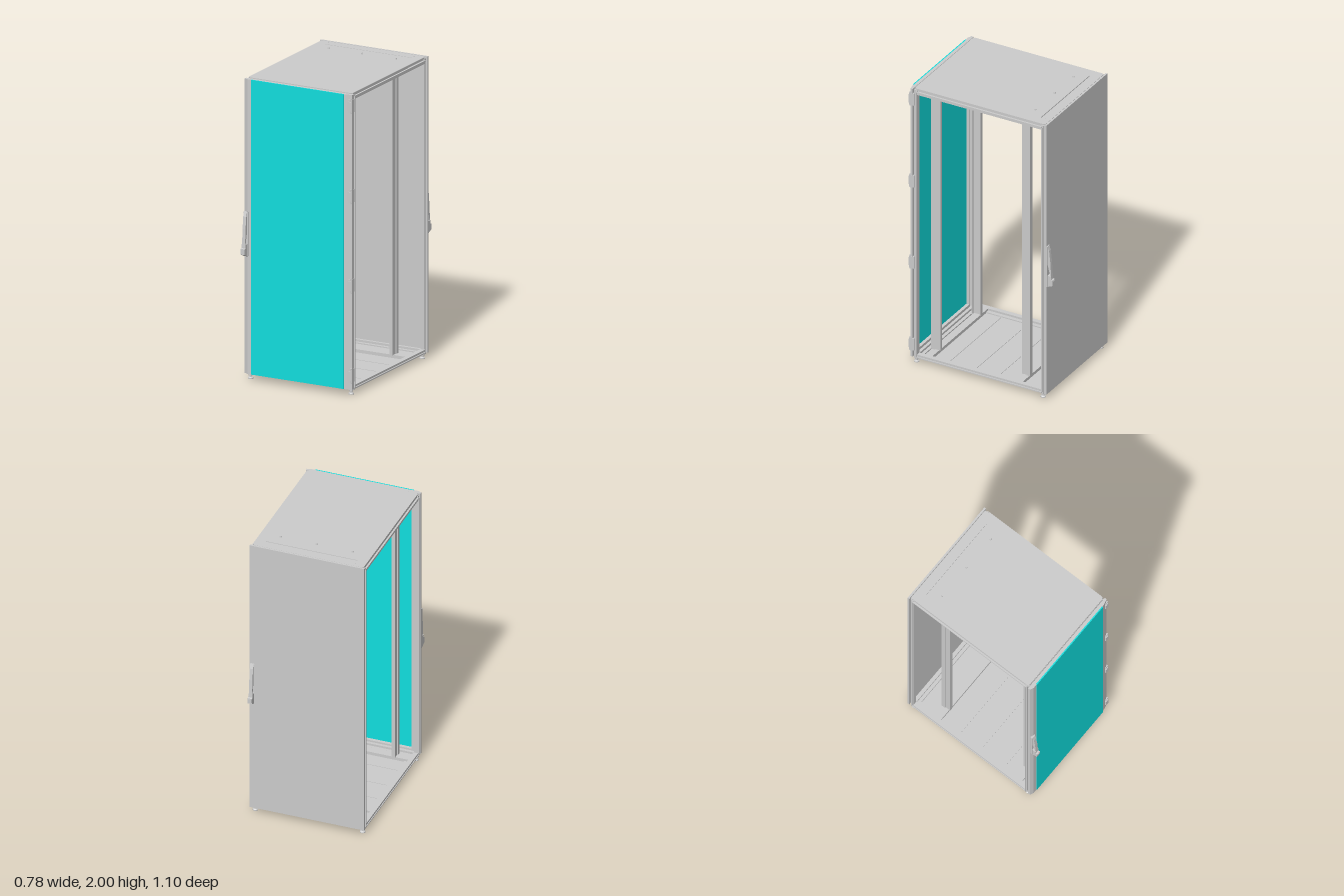
import * as THREE from 'three';

const grey = new THREE.MeshStandardMaterial({ color: 0xcccccc, side: THREE.DoubleSide });
const cyan = new THREE.MeshStandardMaterial({ color: 0x10dede, side: THREE.DoubleSide });

function part(parent, name, geometry, material = grey) {
  const mesh = new THREE.Mesh(geometry, material);
  mesh.name = name;
  parent.add(mesh);
  return mesh;
}

// Box given by its limits on each axis
function box(parent, name, [x0, x1], [y0, y1], [z0, z1], material = grey) {
  const mesh = part(parent, name, new THREE.BoxGeometry(Math.abs(x1 - x0), y1 - y0, Math.abs(z1 - z0)), material);
  mesh.position.set((x0 + x1) / 2, (y0 + y1) / 2, (z0 + z1) / 2);
  return mesh;
}

function shapeOf(points) {
  return new THREE.Shape(points.map(([x, y]) => new THREE.Vector2(x, y)));
}

function extrude(shape, depth) {
  return new THREE.ExtrudeGeometry(shape, { depth, bevelEnabled: false, curveSegments: 12 });
}

// Upright with a plan section in (x, z)
function upright(parent, name, plan, y0, y1) {
  const geometry = extrude(shapeOf(plan.map(([x, z]) => [x, -z])), y1 - y0);
  geometry.rotateX(-Math.PI / 2);
  geometry.translate(0, y0, 0);
  return part(parent, name, geometry);
}

const MID = -0.01; // frame centre on z
const HX = 0.385, HZ = 0.478; // frame half sizes
const FRONT = MID + HZ, BACK = MID - HZ;

function createFrame() {
  const frame = new THREE.Group();
  frame.name = 'frame';
  // Stepped corner posts, section measured inward from the corner
  const section = [[0, 0.008], [0.008, 0.008], [0.008, 0], [0.05, 0], [0.05, 0.01], [0.028, 0.01], [0.028, 0.026], [0, 0.026]];
  for (const sx of [1, -1]) for (const sz of [1, -1]) {
    const plan = section.map(([u, v]) => [sx * (HX - u), MID + sz * (HZ - v)]);
    upright(frame, 'cornerPost', plan, 0.03, 1.98);
  }
  // Stepped side and cross rails, at floor and roof
  for (const top of [false, true]) {
    const y = (a, b) => (top ? [1.985 - b, 1.985 - a] : [0.025 + a, 0.025 + b]);
    for (const s of [1, -1]) {
      box(frame, 'sideRail', [s * 0.33, s * 0.378], y(0.004, 0.022), [BACK + 0.01, FRONT - 0.01]);
      box(frame, 'sideRailLip', [s * 0.355, s * 0.386], y(0.022, 0.036), [BACK + 0.015, FRONT - 0.015]);
      box(frame, 'sideFlange', [s * 0.374, s * 0.39], y(0.014, 0.02), [-0.47, 0.45]);
      const z = MID + s * HZ;
      box(frame, 'crossRail', [-0.378, 0.378], y(0.004, 0.022), [z, z - s * 0.05]);
      box(frame, 'crossRailLip', [-0.36, 0.36], y(0.022, 0.036), [z - s * 0.008, z - s * 0.028]);
    }
    // Beams carrying the mounting rails
    for (const z of [0.372, -0.288]) {
      box(frame, 'railBeam', [-0.36, 0.36], y(0.015, 0.036), [z - 0.025, z + 0.025]);
    }
  }
  // Slim bars at the sides that panels clip on to
  for (const s of [1, -1]) for (const z of [0.45, -0.47]) {
    box(frame, 'sideClipBar', [s * 0.38, s * 0.39], [0.045, 1.965], [z - 0.004, z + 0.004]);
  }
  return frame;
}

function createMountingRails() {
  const rails = new THREE.Group();
  rails.name = 'mountingRails';
  // Channel section: x outward, z along the depth
  const section = [[0.245, -0.032], [0.268, -0.032], [0.268, 0.005], [0.274, 0.005], [0.274, 0.032],
    [0.245, 0.032], [0.245, 0.027], [0.262, 0.027], [0.262, -0.027], [0.245, -0.027]];
  for (const s of [1, -1]) for (const [z, d] of [[0.372, 1], [-0.288, -1]]) {
    upright(rails, 'mountingRail', section.map(([x, w]) => [s * x, z + d * w]), 0.06, 1.95);
  }
  return rails;
}

function createRoof() {
  const roof = new THREE.Group();
  roof.name = 'roof';
  const c = 0.012, x = 0.378, z0 = -0.488, z1 = 0.466;
  const plate = shapeOf([[-x + c, -z1], [x - c, -z1], [x, -z1 + c], [x, -z0 - c], [x - c, -z0], [-x + c, -z0], [-x, -z0 - c], [-x, -z1 + c]]);
  // Cable slot
  plate.holes.push(new THREE.Path([[-0.312, 0.424], [-0.312, 0.418], [0.312, 0.418], [0.312, 0.424]].map(([a, b]) => new THREE.Vector2(a, b))));
  const geometry = extrude(plate, 0.012);
  geometry.rotateX(-Math.PI / 2);
  geometry.translate(0, 1.977, 0);
  part(roof, 'roofPlate', geometry);
  box(roof, 'cableBrush', [-0.315, 0.315], [1.97, 1.983], [-0.45, -0.415]);
  for (const sx of [-0.245, 0, 0.245]) {
    const screw = part(roof, 'roofScrew', new THREE.CylinderGeometry(0.005, 0.007, 0.011, 16));
    screw.position.set(sx, 1.9945, -0.34);
  }
  for (const sx of [-0.312, 0.312]) {
    const rivet = part(roof, 'roofRivet', new THREE.CylinderGeometry(0.002, 0.002, 0.003, 8));
    rivet.position.set(sx, 1.99, -0.455);
  }
  return roof;
}

function createFloor() {
  const floor = new THREE.Group();
  floor.name = 'floor';
  // Separate floor plates with gaps covered by thin strips
  const seams = [-0.44, -0.3, -0.12, 0.05, 0.24, 0.42];
  for (let i = 0; i < seams.length - 1; i++) {
    box(floor, 'floorPlate', [-0.335, 0.335], [0.034, 0.04], [seams[i] + 0.003, seams[i + 1] - 0.003]);
    if (i) box(floor, 'floorSeam', [-0.335, 0.335], [0.03, 0.043], [seams[i] - 0.006, seams[i] + 0.006]);
  }
  return floor;
}

function createFoot(x, z) {
  const profile = [[0, 0], [0.018, 0], [0.018, 0.006], [0.012, 0.011], [0.008, 0.012], [0.008, 0.02], [0.013, 0.02], [0.013, 0.028], [0, 0.028]];
  const geometry = new THREE.LatheGeometry(profile.map(([r, y]) => new THREE.Vector2(r, y)), 20);
  const foot = new THREE.Mesh(geometry.toNonIndexed(), grey);
  foot.geometry.computeVertexNormals();
  foot.name = 'foot';
  foot.position.set(x, 0, z);
  return foot;
}

// Swing handle; faces +z, mounted on the plane z = 0
function createHandle() {
  const handle = new THREE.Group();
  handle.name = 'handle';
  const side = (points, x0, width, name) => {
    const geometry = extrude(shapeOf(points), width);
    geometry.rotateY(-Math.PI / 2); // profile x becomes z, width runs to -x
    geometry.translate(x0 + width, 0, 0);
    part(handle, name, geometry);
  };
  box(handle, 'handleBase', [-0.016, 0.016], [0.82, 1.11], [-0.008, 0.007]);
  side([[0.004, 0.99], [0.03, 0.885], [0.034, 0.885], [0.027, 1.0], [0.018, 1.08], [0.008, 1.112], [0, 1.112], [0, 0.99]], -0.011, 0.022, 'handleGrip');
  side([[0, 0.815], [0.01, 0.82], [0.045, 0.835], [0.045, 0.873], [0.034, 0.876], [0.033, 0.9], [0, 0.9]], -0.015, 0.03, 'handleLock');
  box(handle, 'lockCover', [-0.01, 0.01], [0.842, 0.868], [0.04, 0.047]);
  return handle;
}

function createFrontDoor() {
  const door = new THREE.Group();
  door.name = 'frontDoor';
  const y0 = 0.04, y1 = 1.985;
  // Folded steel stiles with chamfered outer edges
  upright(door, 'handleStile', [[-0.39, 0.472], [-0.335, 0.472], [-0.335, 0.499], [-0.365, 0.499], [-0.39, 0.488]], y0, y1);
  upright(door, 'hingeStile', [[0.335, 0.472], [0.39, 0.472], [0.39, 0.488], [0.375, 0.491], [0.335, 0.499]], y0, y1);
  box(door, 'windowPane', [-0.335, 0.335], [y0, y1], [0.494, 0.502], cyan);
  box(door, 'topEdge', [-0.335, 0.335], [1.96, y1], [0.472, 0.494]);
  box(door, 'bottomEdge', [-0.335, 0.335], [y0, 0.065], [0.472, 0.494]);
  for (const y of [1.91, 1.315, 0.725, 0.13]) {
    box(door, 'hingeLeaf', [0.368, 0.392], [y - 0.043, y + 0.043], [0.462, 0.497]);
    box(door, 'hingeBracket', [0.365, 0.388], [y - 0.03, y + 0.03], [0.495, 0.503]);
    const pin = part(door, 'hingePin', new THREE.CylinderGeometry(0.007, 0.007, 0.098, 12));
    pin.position.set(0.384, y, 0.492);
  }
  const handle = createHandle();
  handle.position.set(-0.374, 0, 0.499);
  door.add(handle);
  return door;
}

function createBackDoor() {
  const door = new THREE.Group();
  door.name = 'backDoor';
  box(door, 'backPanel', [-0.39, 0.39], [0.035, 1.99], [-0.504, -0.491]);
  const handle = createHandle();
  handle.rotation.y = Math.PI;
  handle.position.set(0.372, 0, -0.502);
  door.add(handle);
  return door;
}

export function createModel() {
  const cabinet = new THREE.Group();
  cabinet.name = 'cabinet';
  cabinet.add(createFrame(), createMountingRails(), createRoof(), createFloor(), createFrontDoor(), createBackDoor());
  for (const x of [-0.365, 0.365]) for (const z of [0.456, -0.468]) cabinet.add(createFoot(x, z));
  return cabinet;
}
